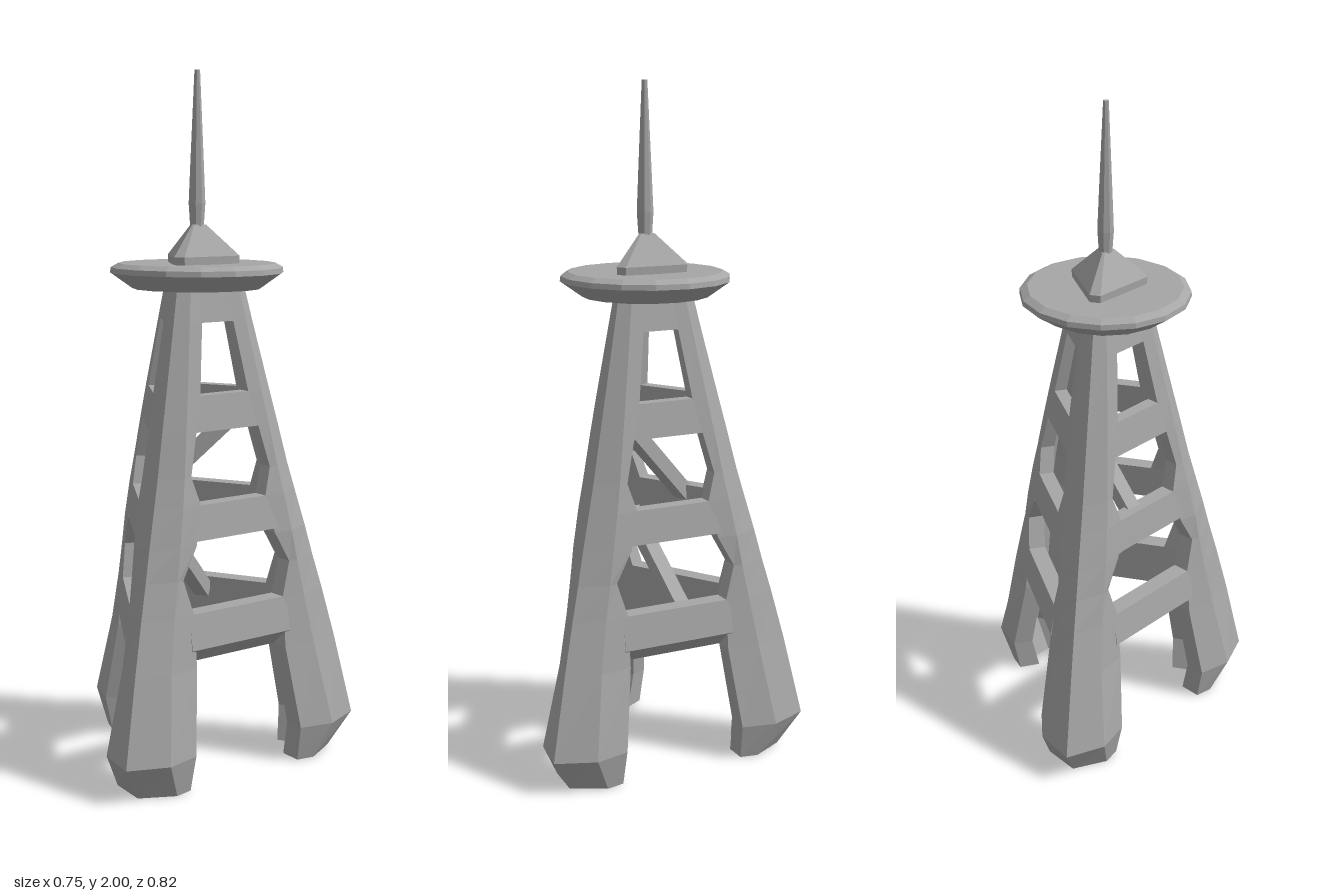
import * as THREE from 'three';

const COS = Math.cos(Math.PI / 6), AXIS_X = 0.095;

// Levels of the tower: height, corner radius, chamfer distance, face distance, half opening
const LEVELS = [
  [0.005, 0.40, 0.25, 0.24, 0.195],
  [0.11, 0.472, 0.283, 0.26, 0.19],
  [0.35, 0.415, 0.235, 0.222, 0.16],
  [0.50, 0.375, 0.215, 0.207, 0.16],
  [0.60, 0.346, 0.205, 0.198, 0.19],
  [0.69, 0.322, 0.197, 0.192, 0.14],
  [0.80, 0.290, 0.183, 0.178, 0.115],
  [0.88, 0.267, 0.170, 0.166, 0.14],
  [1.00, 0.237, 0.152, 0.149, 0.11],
  [1.10, 0.211, 0.136, 0.133, 0.085],
  [1.30, 0.160, 0.102, 0.100, 0.055],
  [1.41, 0.133, 0.083, 0.081, 0.045],
];
const thickness = (y) => 0.065 - 0.025 * y;

// Closed, faceted solid through rings that run counter-clockwise seen from above
function loft(rings) {
  const pos = [], n = rings[0].length;
  const tri = (...pts) => pts.forEach((p) => pos.push(p.x, p.y, p.z));
  for (let r = 0; r + 1 < rings.length; r++) {
    const lo = rings[r], hi = rings[r + 1];
    for (let i = 0; i < n; i++) {
      const j = (i + 1) % n;
      tri(lo[i], lo[j], hi[j]);
      tri(lo[i], hi[j], hi[i]);
    }
  }
  const cap = (ring, flip) => {
    const flat = ring.map((p) => new THREE.Vector2(p.x, -p.z));
    for (const [a, b, c] of THREE.ShapeUtils.triangulateShape(flat, [])) {
      if (flip) tri(ring[a], ring[c], ring[b]);
      else tri(ring[a], ring[b], ring[c]);
    }
  };
  cap(rings[0], true);
  cap(rings[rings.length - 1], false);
  const geo = new THREE.BufferGeometry();
  geo.setAttribute('position', new THREE.Float32BufferAttribute(pos, 3));
  geo.computeVertexNormals();
  return geo;
}

// Angled leg section: two wings that meet at the outer corner
function legRing([y, corner, chamfer, face, open]) {
  const inner = face - thickness(y), v0 = 0.03 - 0.015 * y;
  const half = [
    [0.62 * corner, chamfer],
    [open, face],
    [open, inner],
    [(COS * inner - v0) / 0.5, inner],
  ].map(([s, a]) => [COS * s + 0.5 * a, COS * a - 0.5 * s]);
  return [
    new THREE.Vector3(corner, y, 0),
    ...half.map(([u, v]) => new THREE.Vector3(u, y, -v)),
    ...half.reverse().map(([u, v]) => new THREE.Vector3(u, y, v)),
  ];
}

// Cross beam in one face; drop makes the underside slope down inwards
function beamGeometry(lo, hi, drop) {
  const ring = ([y, , , face, open], rise) => {
    const e = open + 0.015, inner = face - thickness(y);
    return [
      new THREE.Vector3(face, y + rise, e),
      new THREE.Vector3(face, y + rise, -e),
      new THREE.Vector3(inner, y, -e),
      new THREE.Vector3(inner, y, e),
    ];
  };
  return loft([ring(lo, drop), ring(hi, 0)]);
}

function faceted(profile, sides, start = 0) {
  const pts = profile.map(([r, y]) => new THREE.Vector2(r, y));
  const geo = new THREE.LatheGeometry(pts, sides, start).toNonIndexed();
  geo.computeVertexNormals();
  return geo;
}

export function createModel() {
  const model = new THREE.Group();
  model.name = 'tower';
  const grey = new THREE.MeshStandardMaterial({ color: 0xa6a6a6 });
  grey.name = 'grey';

  const add = (name, geo, angle = 0) => {
    const mesh = new THREE.Mesh(geo, grey);
    mesh.name = name;
    mesh.position.x = AXIS_X;
    mesh.rotation.y = angle;
    model.add(mesh);
    return mesh;
  };

  // Three legs and the beams between them
  const legGeo = loft(LEVELS.map(legRing));
  const beams = [[2, 3, 0.05], [5, 6, 0.012], [8, 9, 0], [10, 11, 0]]
    .map(([a, b, drop]) => beamGeometry(LEVELS[a], LEVELS[b], drop));
  for (let i = 0; i < 3; i++) {
    const turn = (i * 2 * Math.PI) / 3;
    add('leg', legGeo, Math.PI + turn);
    beams.forEach((geo) => add('crossBeam', geo, turn));
  }

  // Diagonal braces inside the frame
  const braces = [
    [[-0.02, 0.46, -0.11], [0.155, 0.70, 0.15]],
    [[-0.01, 0.77, 0.115], [0.14, 1.02, -0.10]],
  ];
  for (const [a, b] of braces) {
    const from = new THREE.Vector3(...a), to = new THREE.Vector3(...b);
    const brace = add('brace', new THREE.BoxGeometry(0.045, 0.045, from.distanceTo(to)));
    brace.position.copy(from).lerp(to, 0.5);
    brace.lookAt(to);
  }

  // Round platform
  add('platform', faceted(
    [[0, 1.39], [0.185, 1.39], [0.248, 1.435], [0.246, 1.45], [0.225, 1.462], [0, 1.458]],
    16, Math.PI / 16));

  // Three-sided roof with blunt corners
  const roofRing = (r, y) => {
    const ring = [];
    for (let i = 0; i < 3; i++) {
      for (const d of [-0.13, 0.13]) {
        const a = Math.PI + (i * 2 * Math.PI) / 3 + d;
        ring.push(new THREE.Vector3(r * Math.cos(a), y, -r * Math.sin(a)));
      }
    }
    return ring;
  };
  add('roof', loft([roofRing(0.12, 1.45), roofRing(0.122, 1.482), roofRing(0.026, 1.57)]));

  // Antenna mast
  add('mast', faceted(
    [[0, 1.54], [0.018, 1.54], [0.024, 1.63], [0.019, 1.75], [0.008, 2.0], [0, 2.0]], 8));

  return model;
}
